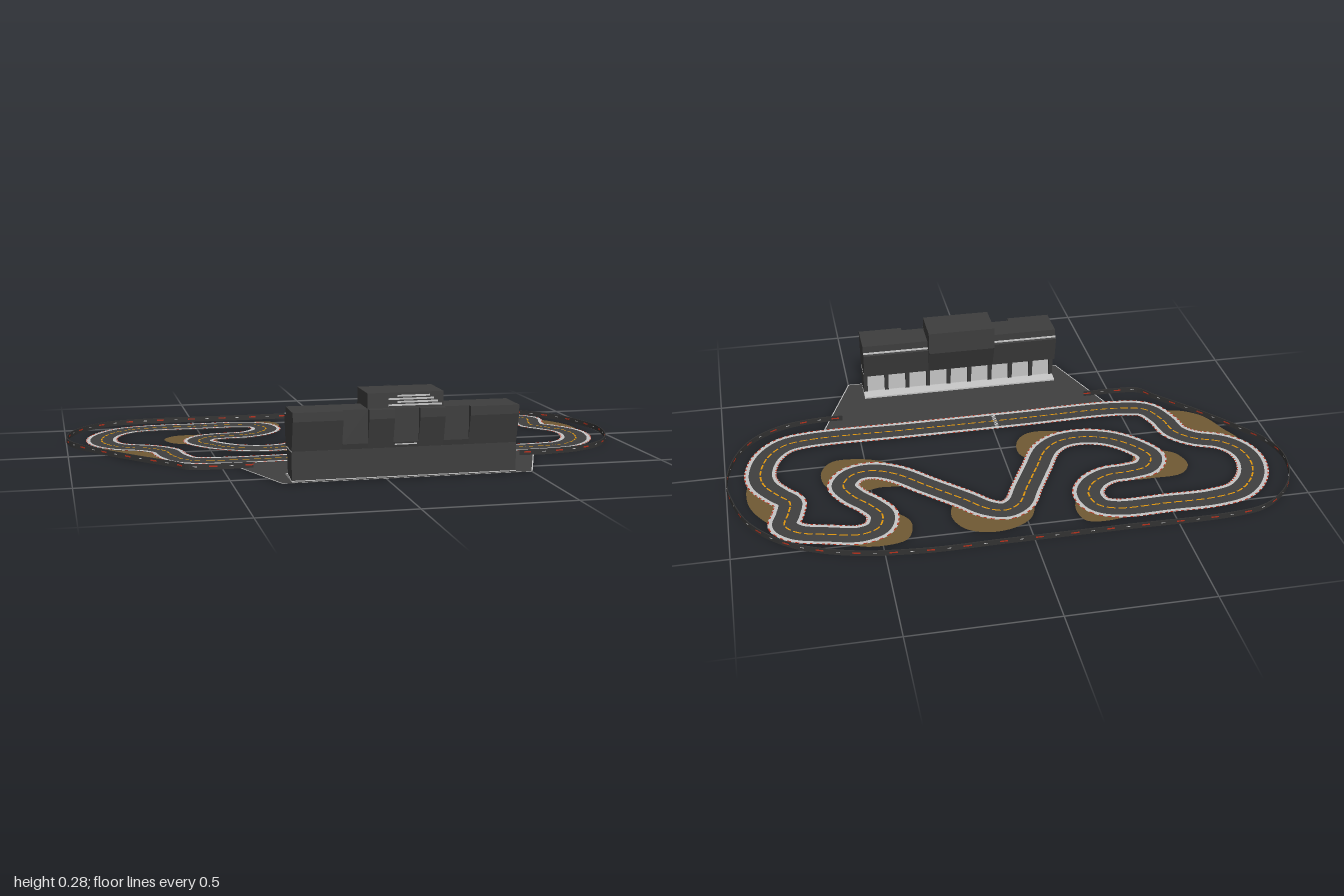
import * as THREE from 'three';

const paint = (name, color) => {
  const m = new THREE.MeshStandardMaterial({ color, side: THREE.DoubleSide });
  m.name = name;
  return m;
};

export function createModel() {
  const model = new THREE.Group();
  const asphalt = paint('asphalt', 0x404040);
  const building = paint('building grey', 0x3d3d3d);
  const barrierDark = paint('barrier black', 0x323232);
  const light = paint('light grey', 0xc4c4c4);
  const red = paint('kerb red', 0xb5301c);
  const orange = paint('line orange', 0xe0960c);
  const gravel = paint('gravel brown', 0x705a34);

  const add = (name, geometry, material, parent = model) => {
    const mesh = new THREE.Mesh(geometry, material);
    mesh.name = name;
    parent.add(mesh);
    return mesh;
  };
  const path = (pts, closed) => {
    const c = new THREE.CatmullRomCurve3(pts.map(([x, z]) => new THREE.Vector3(x, 0, z)), closed);
    c.arcLengthDivisions = 1200;
    return c;
  };

  // Sweeps a [sideways offset, height] section along a flat curve; keep() picks the steps, for dashes
  function sweep(curve, section, n, keep = () => true) {
    const rings = [];
    for (let i = 0; i <= n; i++) {
      const p = curve.getPointAt(i / n), t = curve.getTangentAt(i / n);
      rings.push(section.map(([o, y]) => [p.x + t.z * o, y, p.z - t.x * o]));
    }
    const pos = [];
    for (let i = 0; i < n; i++) {
      if (!keep(i)) continue;
      for (let k = 0; k < section.length - 1; k++) {
        const a = rings[i][k], b = rings[i + 1][k], c = rings[i][k + 1], d = rings[i + 1][k + 1];
        pos.push(...a, ...b, ...c, ...c, ...b, ...d);
      }
    }
    const g = new THREE.BufferGeometry();
    g.setAttribute('position', new THREE.Float32BufferAttribute(pos, 3));
    g.computeVertexNormals();
    return g;
  }
  const flat = (a, b, y) => [[a, y], [b, y]];
  const tube = (w, y0, y1) => [[-w, y0], [-w, y1], [w, y1], [w, y0], [-w, y0]];

  // Circuit centre line
  const track = path([
    [-0.5, 0.192], [-0.1, 0.192], [0.3, 0.192], [0.69, 0.192], [0.78, 0.168], [0.845, 0.096], [0.877, -0.016],
    [0.866, -0.09], [0.823, -0.16], [0.786, -0.21], [0.797, -0.283], [0.813, -0.348], [0.775, -0.396],
    [0.674, -0.428], [0.567, -0.45], [0.503, -0.422], [0.481, -0.348], [0.513, -0.283], [0.567, -0.214],
    [0.594, -0.144], [0.556, -0.08], [0.487, -0.064], [0.406, -0.1], [0.3, -0.203], [0.19, -0.31],
    [0.123, -0.38], [0.064, -0.404], [0.01, -0.374], [-0.037, -0.283], [-0.1, -0.16], [-0.162, -0.045],
    [-0.225, 0.003], [-0.31, 0.014], [-0.406, -0.016], [-0.487, -0.09], [-0.524, -0.166], [-0.49, -0.23],
    [-0.42, -0.25], [-0.34, -0.257], [-0.278, -0.294], [-0.242, -0.358], [-0.257, -0.433], [-0.316, -0.467],
    [-0.5, -0.47], [-0.663, -0.47], [-0.77, -0.442], [-0.845, -0.358], [-0.872, -0.257], [-0.856, -0.176],
    [-0.807, -0.118], [-0.717, -0.075], [-0.663, -0.016], [-0.642, 0.08], [-0.6, 0.163],
  ], true);
  const N = 600;
  add('trackSurface', sweep(track, tube(0.05, 0, 0.003), N), asphalt);
  add('centreLine', sweep(track, flat(-0.003, 0.003, 0.0045), N, i => i % 4 < 3), orange);
  for (const s of [-1, 1]) {
    const side = (a, b) => flat(Math.min(s * a, s * b), Math.max(s * a, s * b), 0.0045);
    add('kerb', sweep(track, side(0.041, 0.0525), N), light);
    add('kerbEdgeLight', sweep(track, side(0.0525, 0.057), N, i => i % 2 === 0), light);
    add('kerbEdgeRed', sweep(track, side(0.0525, 0.057), N, i => i % 2 === 1), red);
  }

  // Chequered start line
  for (let i = 0; i < 16; i++) {
    add('startLineSquare', new THREE.BoxGeometry(0.007, 0.001, 0.006), light)
      .position.set(-0.021 + (i % 2) * 0.007, 0.0045, 0.147 + i * 0.006);
  }

  // Gravel traps beside the corners
  const traps = [
    [[-0.34, -0.51], [-0.26, -0.53], [-0.195, -0.515], [-0.176, -0.45], [-0.19, -0.39], [-0.23, -0.345], [-0.28, -0.42]],
    [[-0.42, -0.295], [-0.5, -0.305], [-0.6, -0.297], [-0.643, -0.24], [-0.62, -0.16], [-0.56, -0.12], [-0.52, -0.06], [-0.46, -0.16]],
    [[-0.11, -0.11], [-0.06, -0.055], [-0.068, 0.03], [-0.112, 0.08], [-0.18, 0.088], [-0.25, 0.06], [-0.2, -0.02]],
    [[-0.04, -0.35], [-0.02, -0.455], [0.05, -0.508], [0.14, -0.518], [0.214, -0.485], [0.25, -0.41], [0.235, -0.335], [0.2, -0.3], [0.07, -0.4]],
    [[0.39, -0.44], [0.417, -0.505], [0.487, -0.525], [0.57, -0.515], [0.62, -0.48], [0.52, -0.4], [0.49, -0.26], [0.45, -0.32], [0.395, -0.39]],
    [[0.38, -0.175], [0.47, -0.175], [0.54, -0.195], [0.6, -0.19], [0.655, -0.13], [0.663, -0.04], [0.62, 0.025], [0.54, 0.03], [0.45, 0], [0.38, -0.07]],
    [[0.85, -0.33], [0.9, -0.27], [0.93, -0.18], [0.92, -0.08], [0.87, -0.11], [0.81, -0.23]],
    [[-0.88, -0.11], [-0.85, -0.03], [-0.8, 0.08], [-0.72, 0.135], [-0.65, 0.135], [-0.67, 0], [-0.77, -0.09]],
  ];
  for (const pts of traps) {
    const shape = new THREE.Shape(path(pts, true).getPoints(48).map(p => new THREE.Vector2(p.x, -p.z)));
    add('gravelTrap', new THREE.ShapeGeometry(shape).rotateX(-Math.PI / 2), gravel).position.y = 0.0015;
  }

  // Outer barrier, open along the pit side, with coloured panels
  const barrier = path([
    [-0.396, 0.318], [-0.52, 0.318], [-0.61, 0.306], [-0.66, 0.245], [-0.77, 0.123], [-0.89, -0.027], [-0.975, -0.16],
    [-0.997, -0.267], [-0.968, -0.4], [-0.904, -0.497], [-0.813, -0.565], [-0.69, -0.589], [-0.3, -0.589],
    [0.1, -0.589], [0.38, -0.589], [0.62, -0.553], [0.807, -0.468], [0.93, -0.33], [0.986, -0.16], [0.996, -0.053],
    [0.963, 0.096], [0.893, 0.214], [0.78, 0.29], [0.647, 0.318], [0.55, 0.318],
  ], false);
  add('barrierWall', sweep(barrier, tube(0.002, 0, 0.02), 300), barrierDark);
  add('barrierRedPanels', sweep(barrier, tube(0.0024, 0.009, 0.014), 300, i => i % 9 < 2), red);
  add('barrierLightPanels', sweep(barrier, tube(0.0024, 0.01, 0.0125), 300, i => i % 9 === 5), light);

  // Pit apron with pale edge lines
  const corners = [[-0.47, 0.245], [-0.345, 0.585], [0.5, 0.585], [0.63, 0.245]];
  const apron = new THREE.Shape(corners.map(([x, z]) => new THREE.Vector2(x, -z)));
  add('pitApron', new THREE.ShapeGeometry(apron).rotateX(-Math.PI / 2), asphalt).position.y = 0.0008;
  for (let i = 0; i < 3; i++) {
    const [a, b] = [corners[i], corners[i + 1]].map(([x, z]) => new THREE.Vector3(x, 0, z));
    add('apronEdgeLine', sweep(new THREE.LineCurve3(a, b), flat(0, 0.004, 0.002), 1), light);
  }

  // Pit building: [z, y] profiles extruded along x
  const pits = new THREE.Group();
  pits.name = 'pitBuilding';
  model.add(pits);
  const slab = (name, profile, x0, x1, material = building) => {
    const shape = new THREE.Shape(profile.map(p => new THREE.Vector2(...p)));
    const g = new THREE.ExtrudeGeometry(shape, { depth: x1 - x0, bevelEnabled: false });
    add(name, g.rotateY(-Math.PI / 2), material, pits).position.x = x1;
  };
  const box = (name, x0, x1, y0, y1, z0, z1, material) =>
    add(name, new THREE.BoxGeometry(x1 - x0, y1 - y0, z1 - z0), material, pits)
      .position.set((x0 + x1) / 2, (y0 + y1) / 2, (z0 + z1) / 2);

  // Ground floor: rear block, pale garage doors, tapered pillars
  const L = -0.31, R = 0.446;
  box('garageBlock', L, R, 0.002, 0.1, 0.508, 0.568, building);
  slab('garageFloor', [[0.5685, 0.002], [0.5685, 0.005], [0.5, 0.013], [0.46, 0.008], [0.46, 0.002]], L - 0.001, R + 0.001, light);
  box('garageDoors', L + 0.002, R - 0.002, 0.01, 0.098, 0.503, 0.508, light);
  box('floorBand', L - 0.001, R + 0.001, 0.098, 0.102, 0.482, 0.566, light);
  for (let i = 0; i < 10; i++) {
    const x = L + i * (R - L - 0.015) / 9;
    slab('garagePillar', [[0.54, 0.01], [0.54, 0.1], [0.483, 0.1], [0.498, 0.01]], x, x + 0.015);
  }

  // Upper floor: overhanging bays separated by recesses at the rear
  const front = [[0.46, 0.23], [0.46, 0.204], [0.437, 0.2], [0.46, 0.1]];
  const bay = [[0.567, 0.1], [0.592, 0.2], [0.592, 0.23], ...front];
  const recess = [[0.567, 0.1], [0.572, 0.118], [0.572, 0.23], ...front];
  const cuts = [L, -0.145, -0.06, 0.025, 0.11, 0.195, 0.28, R];
  for (let i = 0; i < 7; i++) slab(i % 2 ? 'upperRecess' : 'upperBay', i % 2 ? recess : bay, cuts[i], cuts[i + 1]);
  box('recessStrip', 0.03, 0.105, 0.109, 0.113, 0.566, 0.5715, light);
  for (const [a, b] of [[L, -0.06], [0.195, R]]) {
    box('balconyStrip', a, b, 0.202, 0.207, 0.447, 0.453, light);
  }

  // Central control tower with pale louvres at the rear
  slab('controlTower', [[0.565, 0.1], [0.565, 0.28], [0.418, 0.28], [0.418, 0.195], [0.46, 0.1]], -0.06, 0.195);
  for (let i = 0; i < 4; i++) {
    box('towerLouvre', 0.01 + (i % 2) * 0.03, 0.19 - i * 0.014, 0.236 + i * 0.01, 0.242 + i * 0.01, 0.564, 0.566, light);
  }
  return model;
}
